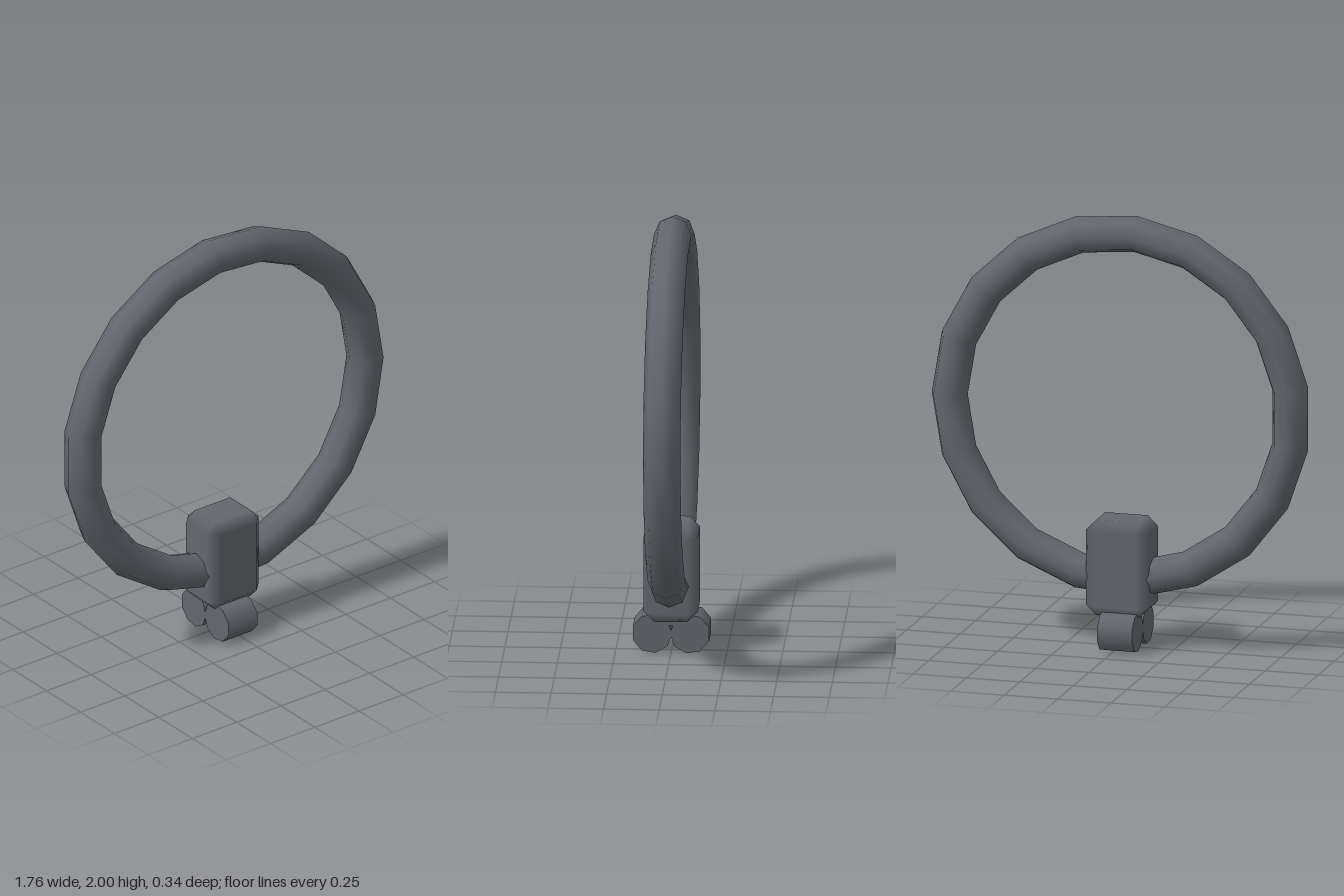
import * as THREE from 'three';
import { ConvexGeometry } from 'three/addons/geometries/ConvexGeometry.js';

// Box with one smooth-shaded chamfer on every edge
function bevelledBox(w, h, d, bevel) {
  const half = [w / 2, h / 2, d / 2];
  const points = [];
  for (const sx of [-1, 1]) for (const sy of [-1, 1]) for (const sz of [-1, 1]) {
    for (let axis = 0; axis < 3; axis++) {
      const p = [sx, sy, sz].map((s, i) => s * (half[i] - (i === axis ? 0 : bevel)));
      points.push(new THREE.Vector3(...p));
    }
  }
  const geometry = new ConvexGeometry(points);
  // Each corner point takes the normal of the flat face it lies on
  const { position, normal } = geometry.attributes;
  for (let i = 0; i < position.count; i++) {
    const p = [position.getX(i), position.getY(i), position.getZ(i)];
    normal.setXYZ(i, ...p.map((v, k) => (Math.abs(v) > half[k] - 1e-4 ? Math.sign(v) : 0)));
  }
  return geometry;
}

export function createModel() {
  const group = new THREE.Group();
  const metal = new THREE.MeshStandardMaterial({ color: 0x63666e });
  metal.name = 'dark grey metal';

  const add = (name, geometry, x, y, z) => {
    const mesh = new THREE.Mesh(geometry, metal);
    mesh.name = name;
    mesh.position.set(x, y, z);
    group.add(mesh);
    return mesh;
  };

  // Large hoop
  add('ring', new THREE.TorusGeometry(0.802, 0.084, 8, 19), -0.004, 1.115, 0);

  // Clasp block around the bottom of the hoop
  add('claspBlock', bevelledBox(0.295, 0.44, 0.244, 0.048), -0.0075, 0.375, 0);

  // Pair of nine-sided knobs lying side by side under the clasp
  for (const side of [-1, 1]) {
    const knob = new THREE.CylinderGeometry(0.091, 0.091, 0.164, 9);
    knob.rotateZ(Math.PI / 2);
    if (side > 0) knob.rotateX(Math.PI); // a corner of each points inward
    add(side > 0 ? 'frontKnob' : 'backKnob', knob, -0.023, 0.0905, side * 0.086);
  }

  // Small pin joining the knobs to the clasp
  add('pin', new THREE.BoxGeometry(0.12, 0.06, 0.04), 0.004, 0.16, 0);

  return group;
}
